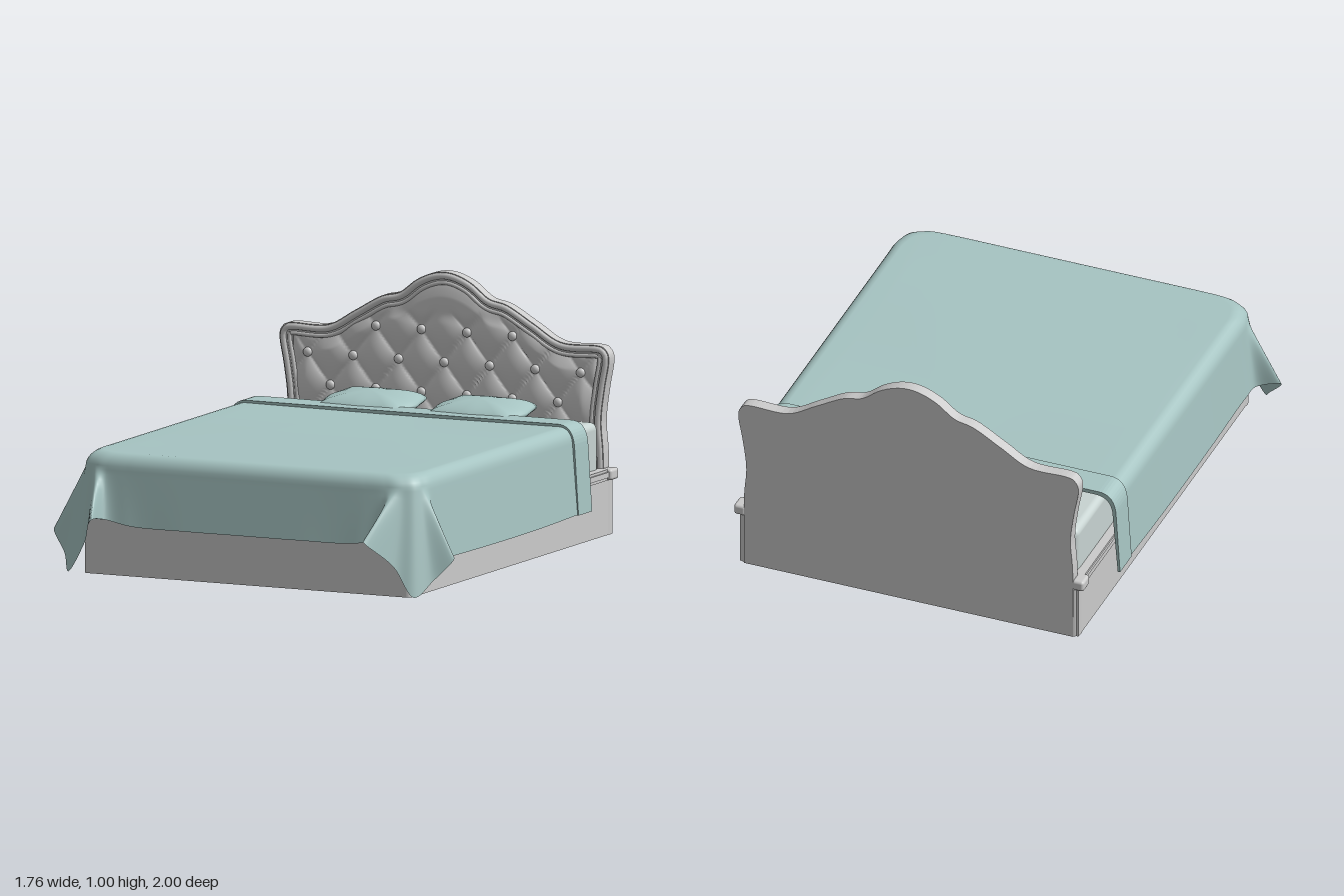
import * as THREE from 'three';
import { RoundedBoxGeometry } from 'three/addons/geometries/RoundedBoxGeometry.js';

const grey = new THREE.MeshStandardMaterial({ color: 0xcccccc });
const linen = new THREE.MeshStandardMaterial({ color: 0xc8d4d2 });
const teal = new THREE.MeshStandardMaterial({ color: 0xa6c4c2, side: THREE.DoubleSide });
const upholstery = new THREE.MeshStandardMaterial({ color: 0xcccccc, side: THREE.DoubleSide });

function add(parent, name, geometry, material, x = 0, y = 0, z = 0) {
  const mesh = new THREE.Mesh(geometry, material);
  mesh.name = name;
  mesh.position.set(x, y, z);
  parent.add(mesh);
  return mesh;
}

// Surface from a grid of points: rows j, columns i
function gridSurface(cols, rows, point) {
  const pos = [], index = [];
  for (let j = 0; j <= rows; j++) {
    for (let i = 0; i <= cols; i++) {
      pos.push(...point(i / cols, j));
      if (i < cols && j < rows) {
        const a = j * (cols + 1) + i, b = a + cols + 1;
        index.push(a, a + 1, b, a + 1, b + 1, b);
      }
    }
  }
  const g = new THREE.BufferGeometry();
  g.setAttribute('position', new THREE.Float32BufferAttribute(pos, 3));
  g.setIndex(index);
  g.computeVertexNormals();
  return g;
}

// Headboard silhouette, right half mirrored to the left
const half = [[0.7, 0], [0.7, 0.3], [0.69, 0.45], [0.705, 0.58], [0.724, 0.69], [0.712, 0.735], [0.67, 0.753],
  [0.515, 0.755], [0.395, 0.82], [0.28, 0.885], [0.197, 0.907], [0.125, 0.96], [0.06, 0.99]];
const silhouette = new THREE.SplineCurve(
  [...half, [0, 1], ...half.map(([x, y]) => [-x, y]).reverse()].map(p => new THREE.Vector2(...p)));

function outline(inset) {
  const pts = [];
  for (let i = 0; i <= 160; i++) {
    const p = silhouette.getPoint(i / 160), t = silhouette.getTangent(i / 160);
    pts.push(new THREE.Vector2(p.x - t.y * inset, Math.max(0, p.y + t.x * inset)));
  }
  return pts;
}

const edgePoints = outline(0);
function topAt(x) {
  for (let i = 0; i < edgePoints.length - 1; i++) {
    const a = edgePoints[i], b = edgePoints[i + 1];
    if (a.y > 0.7 && b.y > 0.7 && a.x >= x && b.x <= x) {
      return a.y + (b.y - a.y) * (a.x - x) / Math.max(1e-6, a.x - b.x);
    }
  }
  return 0.74;
}

function buildHeadboard() {
  const group = new THREE.Group();
  group.name = 'headboard';
  const extrude = (pts, depth) => new THREE.ExtrudeGeometry(new THREE.Shape(pts), { depth, bevelEnabled: false });
  add(group, 'headboardBack', extrude(edgePoints, 0.03), grey, 0, 0, -1);
  add(group, 'headboardFrame', extrude([...edgePoints, ...outline(0.045).reverse()], 0.022), grey, 0, 0, -0.972);

  // Two rounded mouldings around the frame
  for (const [inset, r] of [[0.016, 0.014], [0.043, 0.009]]) {
    const path = new THREE.CatmullRomCurve3(outline(inset).map(p => new THREE.Vector3(p.x, p.y, -0.953)));
    add(group, 'frameMoulding', new THREE.TubeGeometry(path, 200, r, 8), grey);
  }

  // Diamond-tufted padding that flattens toward the frame
  const rows = 90;
  const padding = gridSurface(150, rows, (u, j) => {
    const x = (u * 2 - 1) * 0.67, top = topAt(x) - 0.03, y = 0.25 + (top - 0.25) * j / rows;
    const a = x / 0.2 + (y - 0.64) / 0.25, b = x / 0.2 - (y - 0.64) / 0.25;
    const puff = Math.sqrt(Math.abs(Math.sin(Math.PI * a) * Math.sin(Math.PI * b)));
    const open = THREE.MathUtils.smoothstep(y, 0.79, 0.86);
    const edge = Math.min((top - y) / 0.07, (0.67 - Math.abs(x)) / 0.06, 1);
    const h = THREE.MathUtils.lerp(0.25 + 0.75 * puff, 0.75, open) * Math.sqrt(Math.max(0, edge));
    return [x, y, -0.966 + 0.034 * h];
  });
  add(group, 'tuftedPadding', padding, upholstery);

  const button = new THREE.SphereGeometry(0.019, 14, 10);
  for (const [y, xs] of [[0.765, [0.1, 0.3]], [0.64, [0, 0.2, 0.4, 0.6]], [0.515, [0.1, 0.3, 0.5]], [0.39, [0, 0.2, 0.4, 0.6]]]) {
    for (const x of xs) {
      for (const s of x ? [1, -1] : [1]) add(group, 'button', button, grey, s * x, y, -0.948).scale.z = 0.7;
    }
  }
  return group;
}

// Hollow rectangular frame with rounded corners, extruded upward
function ring(w, back, front, r, thick, height) {
  const rect = (path, x, z0, z1, c) => path.moveTo(-x + c, -z1).lineTo(x - c, -z1)
    .quadraticCurveTo(x, -z1, x, -z1 + c).lineTo(x, -z0).lineTo(-x, -z0)
    .lineTo(-x, -z1 + c).quadraticCurveTo(-x, -z1, -x + c, -z1);
  const shape = rect(new THREE.Shape(), w, back, front, r);
  shape.holes.push(rect(new THREE.Path(), w - thick, back + thick, front - thick, 0.005));
  return new THREE.ExtrudeGeometry(shape, { depth: height, bevelEnabled: false, curveSegments: 8 }).rotateX(-Math.PI / 2);
}

function buildBase() {
  const group = new THREE.Group();
  group.name = 'bedBase';
  add(group, 'rails', ring(0.72, -0.99, 0.82, 0.025, 0.035, 0.225), grey);
  for (const [y, h, out] of [[0.22, 0.012, 0.006], [0.232, 0.022, 0.013], [0.254, 0.01, 0.006]]) {
    add(group, 'railMoulding', ring(0.72 + out, -0.99, 0.82 + out, 0.03, 0.045, h), grey, 0, y);
  }
  add(group, 'bedPlatform', new THREE.BoxGeometry(1.38, 0.03, 1.76), grey, 0, 0.22, -0.08);
  for (const s of [1, -1]) {
    for (const z of [0.785, -0.965]) {
      add(group, 'cornerPost', new THREE.CylinderGeometry(0.033, 0.033, 0.22, 20), grey, s * 0.69, 0.11, z);
    }
    add(group, 'headboardBracket', new RoundedBoxGeometry(0.05, 0.045, 0.07, 3, 0.012), grey, s * 0.72, 0.243, -0.965);
  }
  return group;
}

// Cushion: a sphere squared off in plan, thin at the seams
function pillowGeometry(w, h, d) {
  const g = new THREE.SphereGeometry(1, 40, 20), p = g.attributes.position;
  for (let i = 0; i < p.count; i++) {
    const x = p.getX(i), y = p.getY(i), z = p.getZ(i), r = Math.hypot(x, z) || 1;
    const k = Math.pow(r / Math.max(Math.abs(x), Math.abs(z), 1e-6), 0.85);
    const pinch = 1 - 0.06 * Math.abs(Math.sin(2 * Math.atan2(z, x)));
    p.setXYZ(i, x * k * pinch * w, Math.sign(y) * Math.pow(Math.abs(y), 1.15) * h, z * k * pinch * d);
  }
  g.computeVertexNormals();
  return g;
}

function buildBlanket() {
  const group = new THREE.Group();
  group.name = 'blanket';
  // Shoulder x, z and hem x, y, z from the head end around the corner to the foot
  const side = [[0.75, -0.69, 0.772, 0.14, -0.69], [0.75, -0.2, 0.775, 0.13, -0.2], [0.75, 0.3, 0.775, 0.13, 0.3],
    [0.75, 0.62, 0.775, 0.135, 0.64], [0.75, 0.7, 0.785, 0.14, 0.72], [0.742, 0.74, 0.88, 0.16, 0.75],
    [0.735, 0.765, 0.81, 0.07, 0.8], [0.72, 0.79, 0.76, 0.01, 0.87], [0.69, 0.81, 0.68, 0.13, 0.89],
    [0.655, 0.825, 0.6, 0.24, 1.0], [0.61, 0.83, 0.6, 0.23, 0.88], [0.52, 0.832, 0.49, 0.207, 0.865],
    [0.25, 0.832, 0.25, 0.203, 0.865]];
  const ctrl = [...side, [0, 0.832, 0, 0.203, 0.865],
    ...side.map(([a, b, c, d, e]) => [-a, b, -c, d, e]).reverse()];
  const shoulder = new THREE.CatmullRomCurve3(ctrl.map(c => new THREE.Vector3(c[0], 0.42, c[1])));
  const hem = new THREE.CatmullRomCurve3(ctrl.map(c => new THREE.Vector3(c[2], c[3], c[4])));
  const flat = 8, round = 6, drop = 10;
  const cloth = gridSurface(208, flat + round + drop, (t, j) => {
    const s = shoulder.getPoint(t), h = hem.getPoint(t);
    const ex = s.x * 0.925, ez = -0.69 + (s.z + 0.69) * 0.963;
    if (j <= flat) {
      const k = j / flat, x = ex * k, z = -0.69 + (ez + 0.69) * k;
      return [x, 0.484 + 0.004 * Math.sin(z * 5 + 1) * (1 - k), z];
    }
    if (j <= flat + round) {
      const a = (j - flat) / round * Math.PI / 2;
      return [ex + (s.x - ex) * Math.sin(a), 0.42 + 0.064 * Math.cos(a), ez + (s.z - ez) * Math.sin(a)];
    }
    const p = s.lerp(h, (j - flat - round) / drop);
    return [p.x, p.y, p.z];
  });
  add(group, 'blanketSheet', cloth, teal);

  // Turned-back band at the head end
  const arch = (path, x, y) => path.lineTo(x, 0.4).quadraticCurveTo(x - 0.005, y, x - 0.075, y)
    .lineTo(-x + 0.075, y).quadraticCurveTo(-x + 0.005, y, -x, 0.4);
  const band = new THREE.Shape().moveTo(0.777, 0.135);
  arch(band, 0.76, 0.494);
  band.lineTo(-0.777, 0.135).lineTo(-0.767, 0.135).lineTo(-0.745, 0.4).quadraticCurveTo(-0.74, 0.478, -0.67, 0.478)
    .lineTo(0.67, 0.478).quadraticCurveTo(0.74, 0.478, 0.745, 0.4).lineTo(0.767, 0.135);
  add(group, 'foldedBand', new THREE.ExtrudeGeometry(band, { depth: 0.122, bevelEnabled: false, curveSegments: 10 }), teal, 0, 0, -0.692);
  return group;
}

export function createModel() {
  const bed = new THREE.Group();
  bed.name = 'bed';
  bed.add(buildHeadboard(), buildBase(), buildBlanket());
  add(bed, 'mattress', new RoundedBoxGeometry(1.38, 0.215, 1.71, 4, 0.03), linen, 0, 0.345, -0.075);
  for (const x of [-0.235, 0.25]) {
    add(bed, 'pillow', pillowGeometry(0.2, 0.052, 0.15), teal, x, 0.487, -0.775).rotation.x = 0.08;
  }
  return bed;
}
